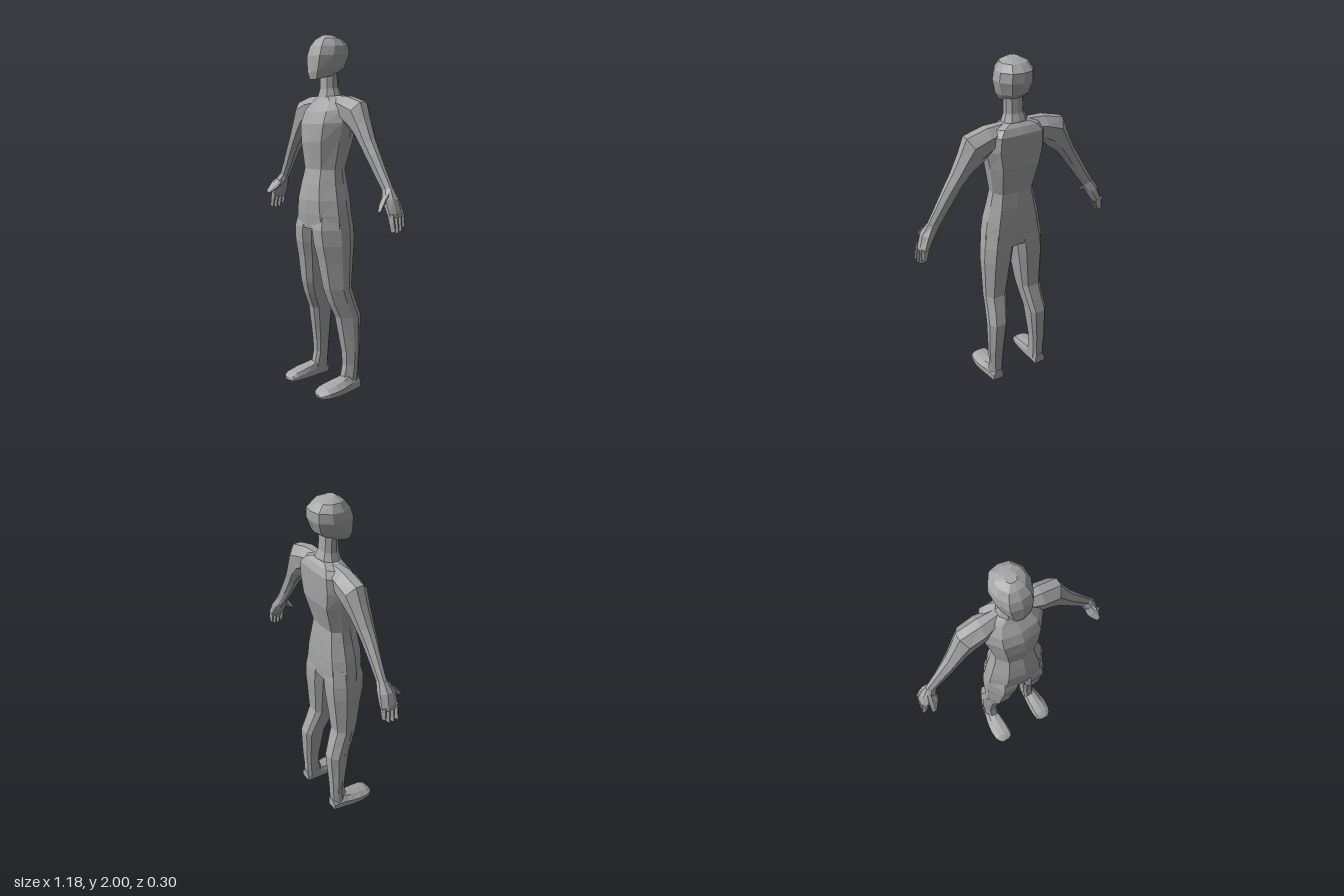
import * as THREE from 'three';

const skin = new THREE.MeshStandardMaterial({ color: 0xa6a6a6, flatShading: true });
skin.name = 'plainGrey';

const mix = THREE.MathUtils.lerp;
const mirrored = (half) => [...half, ...half.slice(1, -1).reverse().map(([a, b]) => [-a, b])];

// Unit outlines: first number runs across (-1..1), second runs back to front
const BODY = mirrored([[0, 1], [0.62, 0.85], [1, 0.15], [1, -0.4], [0.72, -0.95], [0, -1]]);
const HEAD = mirrored([[0, 1], [0.62, 0.9], [1, 0.3], [1, -0.35], [0.6, -0.88], [0, -1]]);
const LEG = [[-1, 0.65], [-0.6, 1], [0.35, 0.95], [1, 0.1], [1, -0.45], [0.5, -1], [-0.6, -1], [-1, -0.65]];
const ARM = [[1, 0.35], [0.4, 1], [-0.5, 0.9], [-1, 0.3], [-1, -0.4], [-0.5, -0.9], [0.4, -1], [1, -0.35]];
const FOOT = [[-1, -1], [1, -1], [1, 0], [0.5, 0.8], [-0.1, 1], [-0.8, 0.8], [-1, 0]];

// Skins a row of equal rings, closes both ends and turns the faces outward
function loft(name, rings) {
  const n = rings[0].length;
  const pts = rings.flat();
  const index = [];
  for (let r = 0; r < rings.length - 1; r++) {
    for (let i = 0; i < n; i++) {
      const a = r * n + i, b = r * n + (i + 1) % n;
      index.push(a, b, b + n, a, b + n, a + n);
    }
  }
  const last = (rings.length - 1) * n;
  const centre = (ring) => ring.reduce((s, p) => s.add(p), new THREE.Vector3()).divideScalar(n);
  const c0 = pts.push(centre(rings[0])) - 1;
  const c1 = pts.push(centre(rings[rings.length - 1])) - 1;
  for (let i = 0; i < n; i++) {
    const j = (i + 1) % n;
    index.push(c0, j, i, c1, last + i, last + j);
  }
  let volume = 0;
  const origin = pts[c0], v = (k) => pts[index[k]].clone().sub(origin);
  for (let k = 0; k < index.length; k += 3) volume += v(k).dot(v(k + 1).cross(v(k + 2)));
  if (volume < 0) index.reverse();
  const geometry = new THREE.BufferGeometry().setFromPoints(pts);
  geometry.setIndex(index);
  const flat = geometry.toNonIndexed();
  flat.computeVertexNormals();
  const mesh = new THREE.Mesh(flat, skin);
  mesh.name = name;
  return mesh;
}

// Level ring: x from x0 to x1, front and back each with its own height
const levelRing = (outline, x0, x1, yF, yB, zF, zB) => outline.map(([a, b]) => {
  const s = (a + 1) / 2, t = (b + 1) / 2;
  return new THREE.Vector3(mix(x0, x1, s), mix(yB, yF, t), mix(zB, zF, t));
});

// Limb ring: spans an upper-edge point, a lower-edge point and a depth range
const limbRing = (side, [ux, uy, lx, ly, zF, zB]) => ARM.map(([a, b]) => {
  const s = (a + 1) / 2, t = (b + 1) / 2;
  return new THREE.Vector3(side * mix(lx, ux, s), mix(ly, uy, s), mix(zB, zF, t));
});

const trunk = (name, outline, rows) =>
  loft(name, rows.map(([yF, yB, w, zF, zB]) => levelRing(outline, -w, w, yF, yB, zF, zB)));

function makeLeg(side) {
  const rows = [ // y, inner x, outer x, front z, back z
    [1.04, 0.004, 0.165, 0.09, -0.1], [0.94, 0.01, 0.183, 0.112, -0.11],
    [0.85, 0.022, 0.188, 0.105, -0.108], [0.76, 0.034, 0.186, 0.085, -0.1],
    [0.6, 0.055, 0.183, 0.06, -0.088], [0.52, 0.068, 0.185, 0.035, -0.115],
    [0.43, 0.082, 0.193, -0.005, -0.145], [0.22, 0.103, 0.195, -0.04, -0.135],
    [0.14, 0.108, 0.19, -0.045, -0.13], [0.03, 0.11, 0.188, -0.02, -0.128],
  ];
  return loft('leg', rows.map(([y, x0, x1, zF, zB]) => levelRing(LEG, side * x0, side * x1, y, y, zF, zB)));
}

function makeFoot(side) {
  const rows = [ // z, inner x, outer x, height
    [-0.132, 0.118, 0.185, 0.07], [-0.06, 0.11, 0.2, 0.085], [-0.01, 0.105, 0.212, 0.072],
    [0.05, 0.1, 0.22, 0.06], [0.11, 0.1, 0.215, 0.046], [0.137, 0.106, 0.2, 0.03], [0.152, 0.14, 0.18, 0.014],
  ];
  return loft('foot', rows.map(([z, x0, x1, h]) => FOOT.map(([a, b]) =>
    new THREE.Vector3(side * mix(x0, x1, (a + 1) / 2), h * (b + 1) / 2, z))));
}

function makeArm(side) {
  const rows = [ // upper x, y, lower x, y, front z, back z
    [0.06, 1.675, 0.09, 1.56, -0.01, -0.1], [0.17, 1.668, 0.165, 1.52, 0.015, -0.118],
    [0.285, 1.637, 0.195, 1.49, 0.012, -0.118], [0.322, 1.545, 0.255, 1.445, 0.002, -0.105],
    [0.37, 1.445, 0.305, 1.385, -0.005, -0.092], [0.41, 1.38, 0.347, 1.325, -0.012, -0.085],
    [0.465, 1.285, 0.4, 1.25, -0.022, -0.08], [0.518, 1.197, 0.452, 1.178, -0.03, -0.078],
  ];
  return loft('arm', rows.map((row) => limbRing(side, row)));
}

function makeHand(side) {
  const hand = new THREE.Group();
  hand.name = 'hand';
  const palm = [
    [0.515, 1.205, 0.45, 1.185, -0.03, -0.078], [0.552, 1.15, 0.478, 1.135, -0.002, -0.095],
    [0.572, 1.085, 0.518, 1.075, -0.003, -0.103], [0.576, 1.062, 0.534, 1.052, -0.006, -0.101],
  ];
  hand.add(loft('palm', palm.map((row) => limbRing(side, row))));
  // Fingers, from index to little
  [[-0.016, 0.59, 0.985], [-0.041, 0.588, 0.98], [-0.066, 0.584, 0.985], [-0.09, 0.577, 1.005]]
    .forEach(([z, x, y]) => {
      const rows = [
        [0.574, 1.08, 0.532, 1.066, z + 0.011, z - 0.011],
        [mix(0.576, x, 0.5), mix(1.065, y, 0.5) + 0.006, mix(0.536, x - 0.03, 0.5), mix(1.065, y, 0.5) - 0.006, z + 0.01, z - 0.01],
        [x, y + 0.006, x - 0.03, y - 0.004, z + 0.006, z - 0.006],
      ];
      hand.add(loft('finger', rows.map((row) => limbRing(side, row))));
    });
  const thumb = [
    [0.525, 1.175, 0.475, 1.15, -0.012, -0.05], [0.535, 1.15, 0.482, 1.115, 0.014, -0.014],
    [0.54, 1.12, 0.502, 1.092, 0.034, 0.01], [0.542, 1.094, 0.518, 1.082, 0.047, 0.034],
  ];
  hand.add(loft('thumb', thumb.map((row) => limbRing(side, row))));
  return hand;
}

export function createModel() {
  const model = new THREE.Group();
  model.name = 'figure';

  // Rows: front y, back y, half width, front z, back z
  model.add(trunk('head', HEAD, [
    [1.758, 1.79, 0.05, 0.076, -0.07], [1.8, 1.83, 0.076, 0.084, -0.125],
    [1.885, 1.895, 0.097, 0.079, -0.147], [1.935, 1.945, 0.092, 0.062, -0.145],
    [1.978, 1.98, 0.068, 0.03, -0.108], [2, 1.996, 0.028, -0.005, -0.06],
  ]));
  model.add(trunk('neck', HEAD, [
    [1.6, 1.63, 0.09, 0.02, -0.115], [1.665, 1.685, 0.068, 0.014, -0.105],
    [1.71, 1.72, 0.053, 0.004, -0.09], [1.82, 1.83, 0.05, 0, -0.08],
  ]));
  model.add(trunk('torso', BODY, [
    [0.94, 0.94, 0.178, 0.112, -0.108], [1.02, 1.02, 0.173, 0.119, -0.11],
    [1.1, 1.1, 0.16, 0.12, -0.108], [1.19, 1.19, 0.138, 0.105, -0.1],
    [1.27, 1.27, 0.122, 0.086, -0.09], [1.42, 1.44, 0.15, 0.103, -0.135],
    [1.52, 1.54, 0.172, 0.096, -0.14], [1.585, 1.625, 0.165, 0.07, -0.142],
    [1.64, 1.66, 0.13, 0.028, -0.125], [1.668, 1.678, 0.075, 0.012, -0.105],
  ]));

  // Limbs on both sides
  for (const side of [1, -1]) {
    const limbs = new THREE.Group();
    limbs.name = side > 0 ? 'leftLimbs' : 'rightLimbs';
    limbs.add(makeLeg(side), makeFoot(side), makeArm(side), makeHand(side));
    model.add(limbs);
  }
  return model;
}
